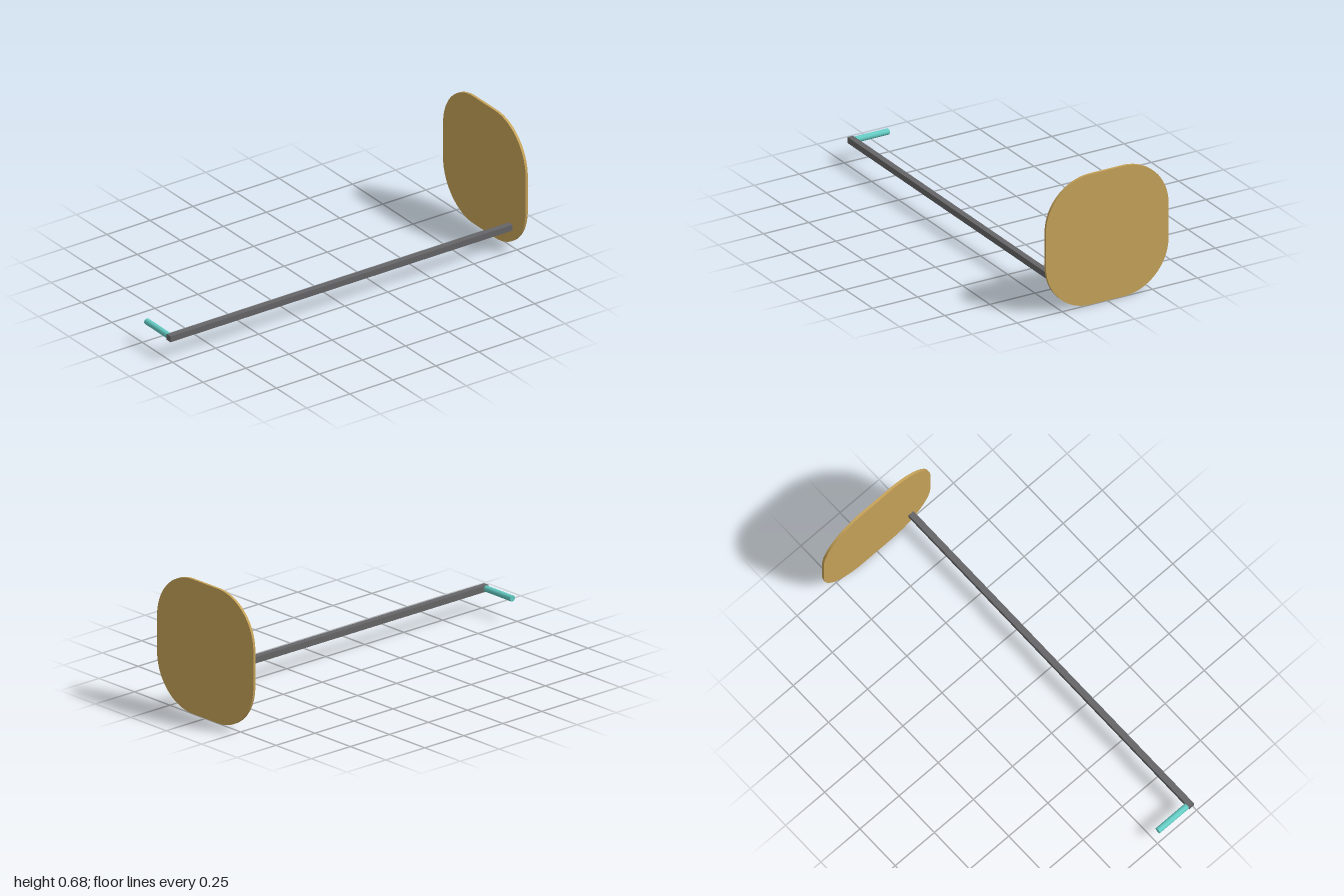
import * as THREE from 'three';

const material = (color) => new THREE.MeshStandardMaterial({ color });

// Square outline with rounded corners, centred on the origin
function roundedSquare(half, radius) {
  const s = new THREE.Shape();
  const c = half - radius;
  [[c, c], [-c, c], [-c, -c], [c, -c]].forEach(([x, y], i) => {
    s.absarc(x, y, radius, i * Math.PI / 2, (i + 1) * Math.PI / 2, false);
  });
  s.closePath();
  return s;
}

export function createModel() {
  const group = new THREE.Group();
  const add = (name, geometry, color, x, y, z) => {
    const mesh = new THREE.Mesh(geometry, material(color));
    mesh.name = name;
    mesh.position.set(x, y, z);
    group.add(mesh);
    return mesh;
  };

  const half = 0.34, thickness = 0.013;
  const armSize = 0.031, armX = 0.217, armY = 0.115;
  const armLength = 2 - thickness;

  // Thin rounded panel at the back
  const panel = new THREE.ExtrudeGeometry(roundedSquare(half, 0.25), {
    depth: thickness, bevelEnabled: false, curveSegments: 20,
  });
  add('panel', panel, 0xc8a45a, 0, half, -1);

  // Long square arm running forward from the panel
  add('arm', new THREE.BoxGeometry(armSize, armSize, armLength), 0x666668,
    armX, armY, 1 - armLength / 2);

  // Round grip pointing inward from the front end of the arm
  const gripLength = 0.186;
  const grip = add('grip', new THREE.CylinderGeometry(armSize / 2, armSize / 2, gripLength, 32), 0x64ccc4,
    armX - armSize / 2 - gripLength / 2, armY, 1 - armSize / 2);
  grip.rotation.z = Math.PI / 2;

  return group;
}
